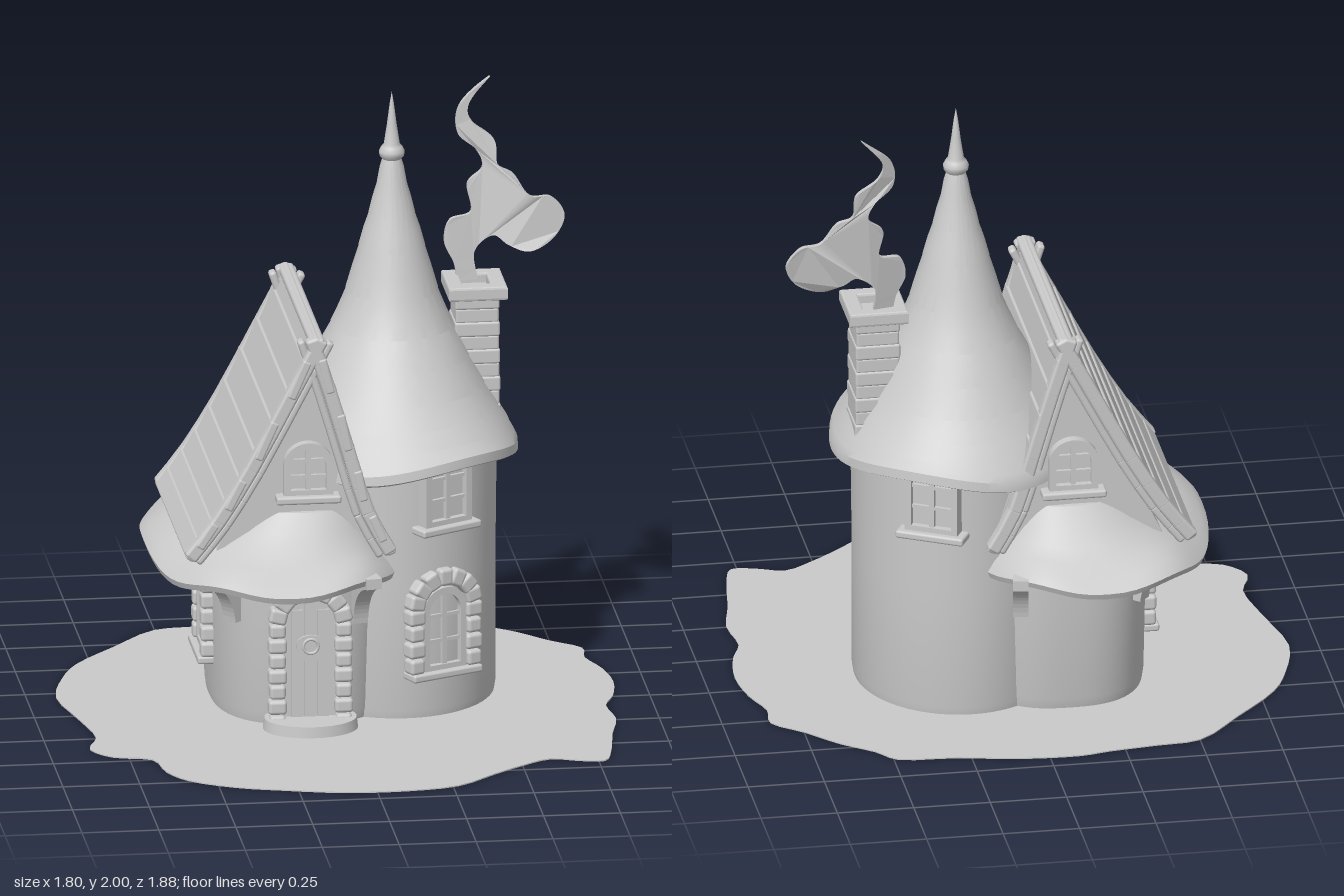
import * as THREE from 'three';
import { toCreasedNormals } from 'three/addons/utils/BufferGeometryUtils.js';
import { RoundedBoxGeometry } from 'three/addons/geometries/RoundedBoxGeometry.js';

const clay = new THREE.MeshStandardMaterial({ color: 0xcacaca, side: THREE.DoubleSide });
clay.name = 'clayGrey';
const MID_Z = -0.19;

function add(parent, name, geo, x = 0, y = 0, z = 0, rz = 0) {
  const m = new THREE.Mesh(geo, clay);
  m.name = name;
  m.position.set(x, y, z);
  m.rotation.z = rz;
  parent.add(m);
  return m;
}
const box = (w, h, d) => new THREE.BoxGeometry(w, h, d);
const soft = (w, h, d, r = 0.012) => new RoundedBoxGeometry(w, h, d, 2, r);
const polygon = pts => new THREE.Shape(pts.map(p => new THREE.Vector2(p[0], p[1])));
const extrude = (shape, depth) =>
  new THREE.ExtrudeGeometry(shape, { depth, bevelEnabled: false, curveSegments: 14 });

// Closed skin through superellipse rings [cx, cz, rx, rz, y, wave]
function loft(rings, power = 2, wave = () => 0, crease = 0.6) {
  const N = 72, pos = [], idx = [];
  const bend = v => Math.sign(v) * Math.abs(v) ** (2 / power);
  for (const [cx, cz, rx, rz, y, w = 0] of rings)
    for (let i = 0; i < N; i++) {
      const a = i / N * Math.PI * 2;
      pos.push(cx + rx * bend(Math.cos(a)), y + w * wave(a), cz + rz * bend(Math.sin(a)));
    }
  for (let j = 0; j < rings.length - 1; j++)
    for (let i = 0; i < N; i++) {
      const a = j * N + i, b = j * N + (i + 1) % N;
      idx.push(a, a + N, b, b, a + N, b + N);
    }
  const g = new THREE.BufferGeometry();
  g.setAttribute('position', new THREE.Float32BufferAttribute(pos, 3));
  g.setIndex(idx);
  return toCreasedNormals(g, crease);
}

function archShape(w, h, rise, y0 = 0) {
  const s = new THREE.Shape();
  s.moveTo(-w / 2, y0);
  s.lineTo(w / 2, y0);
  s.lineTo(w / 2, h - rise);
  s.absellipse(0, h - rise, w / 2, rise, 0, Math.PI);
  s.closePath();
  return s;
}

// Stones up both jambs and around the arch
function stoneSurround(parent, w, h, rise) {
  const spring = h - rise, rows = Math.round(spring / 0.052);
  for (let i = 0; i < rows; i++)
    for (const s of [-1, 1])
      add(parent, 'jambStone', soft(i % 2 ? 0.06 : 0.052, spring / rows - 0.004, 0.055),
        s * w / 2, (i + 0.5) * spring / rows, 0.012);
  for (let i = 0; i < 7; i++) {
    const a = (i + 0.5) / 7 * Math.PI;
    add(parent, 'archStone', soft(0.058, w * 0.235, 0.055),
      Math.cos(a) * w / 2, spring + Math.sin(a) * rise, 0.012, a);
  }
}

// Casement: recessed pane, arched frame, glazing bars, sill
function makeWindow(parent, name, { w, h, rise, stones }, x, y, z, yaw) {
  const g = new THREE.Group();
  g.name = name;
  const frame = archShape(w, h, rise);
  frame.holes.push(archShape(w - 0.044, h - 0.022, rise * 0.85, 0.022));
  add(g, 'windowFrame', extrude(frame, 0.05), 0, 0, -0.022);
  add(g, 'pane', extrude(archShape(w - 0.03, h - 0.015, rise), 0.03), 0, 0, -0.024);
  add(g, 'mullion', box(0.016, h - 0.02, 0.02), 0, h / 2, 0.012);
  for (const f of [0.36, 0.66]) add(g, 'glazingBar', box(w - 0.03, 0.011, 0.014), 0, h * f, 0.011);
  add(g, 'sill', soft(w + (stones ? 0.1 : 0.05), 0.026, 0.075, 0.008), 0, -0.008, 0.012);
  if (stones) stoneSurround(g, w + 0.055, h + 0.035, rise + 0.025);
  g.position.set(x, y, z);
  g.rotation.y = yaw;
  parent.add(g);
}

function buildTower(root) {
  const X = 0.19, Z = -0.2;
  add(root, 'towerWall', loft([[X, Z, 0.325, 0.365, 0], [X, Z, 0.33, 0.37, 0.03],
    [X, Z, 0.33, 0.37, 0.45], [X, Z, 0.335, 0.372, 0.88]]));
  // Sweeping conical roof with overlapping courses
  const curve = new THREE.SplineCurve([[0.455, 0.865], [0.4, 0.93], [0.33, 1.02], [0.25, 1.15],
    [0.17, 1.3], [0.105, 1.5], [0.06, 1.65], [0.028, 1.785]].map(p => new THREE.Vector2(...p)));
  const rings = [[X, Z, 0.31, 0.35, 0.86, 0.8], [X, Z, 0.385, 0.445, 0.825, 1], [X, Z, 0.403, 0.465, 0.835, 1]];
  const ring = (t, out) => {
    const p = curve.getPoint(t), r = p.x + out;
    rings.push([X, Z - 0.03 * Math.min(1, t * 2), r * (0.87 + 0.13 * t), r, p.y, (1 - t) ** 6]);
  };
  const courses = 10;
  for (let i = 0; i < courses; i++) {
    ring(i / courses, 0.006 * (1 - i / courses));
    ring((i + 0.5) / courses, 0.003);
    ring((i + 1) / courses, 0);
  }
  add(root, 'towerRoof', loft(rings, 2, a => -0.024 * Math.cos(3 * a), 0.5));
  // Finial
  const prof = [[0.028, 1.77], [0.04, 1.785], [0.042, 1.8], [0.034, 1.815], [0.026, 1.825],
    [0.016, 1.89], [0.007, 1.96], [0, 2]];
  add(root, 'finial', new THREE.LatheGeometry(prof.map(p => new THREE.Vector2(...p)), 24), X, 0, -0.23);

  makeWindow(root, 'lowerTowerWindow', { w: 0.16, h: 0.28, rise: 0.07, stones: true }, 0.305, 0.16, 0.135, 0.43);
  const upper = { w: 0.18, h: 0.24, rise: 0.03 };
  makeWindow(root, 'frontUpperWindow', upper, 0.315, 0.65, 0.14, 0.5);
  makeWindow(root, 'backUpperWindow', upper, 0.315, 0.65, 2 * Z - 0.14, Math.PI - 0.5);
}

function buildChimney(root) {
  const X = 0.462, Z = -0.255;
  for (let i = 0; i < 9; i++) {
    const k = 1 - i * 0.006;
    add(root, 'chimneyCourse', soft((i % 2 ? 0.146 : 0.152) * k, 0.05, (i % 2 ? 0.166 : 0.172) * k, 0.008),
      X, 0.925 + i * 0.046, Z);
  }
  // Open cap
  const cap = polygon([[-0.09, -0.1], [0.09, -0.1], [0.09, 0.1], [-0.09, 0.1]]);
  cap.holes.push(polygon([[-0.05, -0.06], [-0.05, 0.06], [0.05, 0.06], [0.05, -0.06]]));
  const g = new THREE.ExtrudeGeometry(cap, { depth: 0.03, bevelSize: 0.006, bevelThickness: 0.008, bevelSegments: 2 });
  add(root, 'chimneyCap', g.rotateX(-Math.PI / 2), X, 1.312, Z);

  // Flat curling smoke plume leaning backward
  const pts = [[0.41, 1.33], [0.4, 1.39], [0.37, 1.46], [0.39, 1.53], [0.46, 1.55], [0.45, 1.64], [0.5, 1.69],
    [0.48, 1.75], [0.42, 1.81], [0.43, 1.9], [0.53, 1.985], [0.46, 1.9], [0.47, 1.84], [0.54, 1.78],
    [0.55, 1.7], [0.6, 1.67], [0.65, 1.6], [0.72, 1.59], [0.765, 1.53], [0.73, 1.46], [0.65, 1.42],
    [0.58, 1.44], [0.53, 1.47], [0.47, 1.42], [0.48, 1.33]].map(p => new THREE.Vector2(...p));
  const plume = new THREE.Shape();
  plume.moveTo(pts[0].x, pts[0].y);
  plume.splineThru(pts.slice(1, 11));
  plume.splineThru(pts.slice(11));
  const s = extrude(plume, 0.018), p = s.attributes.position;
  for (let i = 0; i < p.count; i++) {
    const t = (p.getY(i) - 1.33) / 0.65;
    p.setZ(i, p.getZ(i) - 0.315 - 0.09 * t + 0.012 * Math.sin(p.getX(i) * 22));
  }
  s.computeVertexNormals();
  add(root, 'smoke', s);
}

function buildHouse(root) {
  const Z = MID_Z;
  add(root, 'houseWall', loft([[-0.13, Z, 0.28, 0.375, 0], [-0.13, Z, 0.285, 0.385, 0.04],
    [-0.13, Z, 0.295, 0.4, 0.56]], 2.6));
  // Flared skirt roof
  add(root, 'skirtRoof', loft([[-0.13, Z, 0.27, 0.37, 0.535], [-0.2, Z, 0.38, 0.56, 0.495, 1],
    [-0.21, Z, 0.405, 0.605, 0.495, 1], [-0.21, Z, 0.412, 0.613, 0.515, 1], [-0.205, Z, 0.39, 0.575, 0.548, 1],
    [-0.195, Z, 0.355, 0.525, 0.575, 0.5], [-0.175, Z, 0.32, 0.475, 0.61], [-0.155, Z, 0.28, 0.43, 0.66],
    [-0.14, Z, 0.24, 0.385, 0.72], [-0.13, Z, 0.1, 0.2, 0.74]], 2.4, a => 0.013 * Math.cos(6 * a), 0.7));
  add(root, 'gableWall', extrude(polygon([[-0.43, 0.6], [0.13, 0.6], [-0.11, 1.27]]), 0.74), 0, 0, Z - 0.37);

  // Steep gable roof of overlapping plank courses
  const left = [[-0.11, 1.315], [-0.215, 1.115], [-0.335, 0.89], [-0.44, 0.72], [-0.53, 0.605]];
  const right = [[-0.11, 1.315], [-0.05, 1.13], [0.015, 0.91], [0.07, 0.73], [0.14, 0.6]];
  for (const [side, pts] of [[-1, left], [1, right]]) {
    const c = new THREE.SplineCurve(pts.map(p => new THREE.Vector2(...p)));
    for (let i = 0; i < 9; i++) {
      const a = c.getPoint(i / 9), b = c.getPoint((i + 1) / 9);
      const ang = Math.atan2(b.y - a.y, b.x - a.x), len = a.distanceTo(b) + 0.022;
      add(root, 'roofCourse', soft(len, 0.03, 0.835 + (i % 2) * 0.012, 0.008),
        (a.x + b.x) / 2 - side * 0.008, (a.y + b.y) / 2 - 0.008, Z + 0.012, ang - side * 0.07);
    }
    // Barge boards and inner trim, both gables
    for (const [drop, z0, wide] of [[0.025, 0.4, 0.045], [0.085, 0.375, 0.025]])
      for (const f of [-1, 1])
        for (let i = 0; i < 8; i++) {
          const a = c.getPoint(i / 8), b = c.getPoint((i + 1) / 8);
          const ang = Math.atan2(b.y - a.y, b.x - a.x);
          const nx = side * Math.sin(ang), ny = -side * Math.cos(ang);
          add(root, 'bargeBoard', soft(a.distanceTo(b) + 0.015, wide, 0.045, 0.01),
            (a.x + b.x) / 2 + nx * drop * 0.6, (a.y + b.y) / 2 + ny * drop * 0.6, Z + 0.01 + f * z0, ang);
        }
  }
  add(root, 'ridge', soft(0.05, 0.03, 0.84, 0.012), -0.11, 1.305, Z + 0.012);

  const gable = { w: 0.16, h: 0.18, rise: 0.075 };
  makeWindow(root, 'frontGableWindow', gable, -0.135, 0.78, Z + 0.375, 0);
  makeWindow(root, 'backGableWindow', gable, -0.135, 0.78, Z - 0.375, Math.PI);
  makeWindow(root, 'sideWindow', { w: 0.16, h: 0.28, rise: 0.07, stones: true }, -0.412, 0.16, Z, -Math.PI / 2);

  // Curved eave brackets at the corners
  const bracket = new THREE.Shape();
  bracket.moveTo(-0.03, 0.34);
  bracket.lineTo(0.035, 0.34);
  bracket.quadraticCurveTo(0.05, 0.47, 0.19, 0.5);
  bracket.lineTo(0.19, 0.535);
  bracket.lineTo(-0.03, 0.535);
  const bg = extrude(bracket, 0.05).translate(0, 0, -0.025);
  for (const [x, dz, yaw] of [[-0.355, 0.29, 0.75], [0.03, 0.35, 1.4]])
    for (const f of [-1, 1]) {
      const dir = x < -0.2 ? Math.PI + yaw : -yaw;
      add(root, 'eaveBracket', bg, x, 0, Z + f * dz).rotation.y = f * dir;
    }
}

function buildDoor(root) {
  const g = new THREE.Group();
  g.name = 'frontDoor';
  add(g, 'doorPanel', extrude(archShape(0.17, 0.45, 0.085), 0.05), 0, 0, -0.04);
  for (const x of [-0.042, 0, 0.042]) add(g, 'doorPlank', box(0.037, x ? 0.38 : 0.42, 0.01), x, x ? 0.21 : 0.225, 0.012);
  stoneSurround(g, 0.215, 0.465, 0.105);
  // Teardrop door plate with a ring
  const drop = new THREE.Shape();
  drop.moveTo(0, -0.06);
  drop.bezierCurveTo(0.03, -0.03, 0.05, -0.01, 0.045, 0.02);
  drop.bezierCurveTo(0.04, 0.055, -0.04, 0.055, -0.045, 0.02);
  drop.bezierCurveTo(-0.05, -0.01, -0.03, -0.03, 0, -0.06);
  add(g, 'doorPlate', extrude(drop, 0.009), 0, 0.27, 0.017);
  add(g, 'doorKnocker', new THREE.TorusGeometry(0.024, 0.005, 8, 24), 0, 0.28, 0.028);
  // Rounded doorstep
  const step = new THREE.CylinderGeometry(0.15, 0.155, 0.04, 32).scale(1, 1, 0.8);
  add(g, 'doorstep', step, 0, 0.02, 0.015);
  g.position.set(-0.13, 0, 0.205);
  root.add(g);
}

function buildGround(root) {
  const pts = [[-0.5, -0.88], [-0.36, -0.9], [-0.2, -0.92], [-0.1, -0.94], [0.1, -0.93], [0.3, -0.89], [0.49, -0.87],
    [0.55, -0.8], [0.65, -0.72], [0.75, -0.61], [0.845, -0.52], [0.84, -0.42], [0.88, -0.3], [0.9, -0.15],
    [0.88, 0], [0.845, 0.1], [0.86, 0.25], [0.83, 0.4], [0.8, 0.6], [0.77, 0.69], [0.69, 0.68], [0.6, 0.65],
    [0.5, 0.71], [0.4, 0.79], [0.27, 0.9], [0.1, 0.935], [-0.1, 0.93], [-0.3, 0.88], [-0.45, 0.83], [-0.59, 0.74],
    [-0.65, 0.64], [-0.68, 0.5], [-0.8, 0.46], [-0.865, 0.37], [-0.83, 0.25], [-0.86, 0.05], [-0.905, -0.2],
    [-0.86, -0.4], [-0.8, -0.54], [-0.65, -0.72]];
  const curve = new THREE.CatmullRomCurve3(pts.map(p => new THREE.Vector3(p[0], -p[1], 0)), true);
  const shape = polygon(curve.getPoints(120).slice(0, -1).map(p => [p.x, p.y]));
  add(root, 'ground', extrude(shape, 0.004).rotateX(-Math.PI / 2));
}

export function createModel() {
  const root = new THREE.Group();
  root.name = 'cottage';
  for (const build of [buildGround, buildTower, buildChimney, buildHouse, buildDoor]) build(root);
  return root;
}
